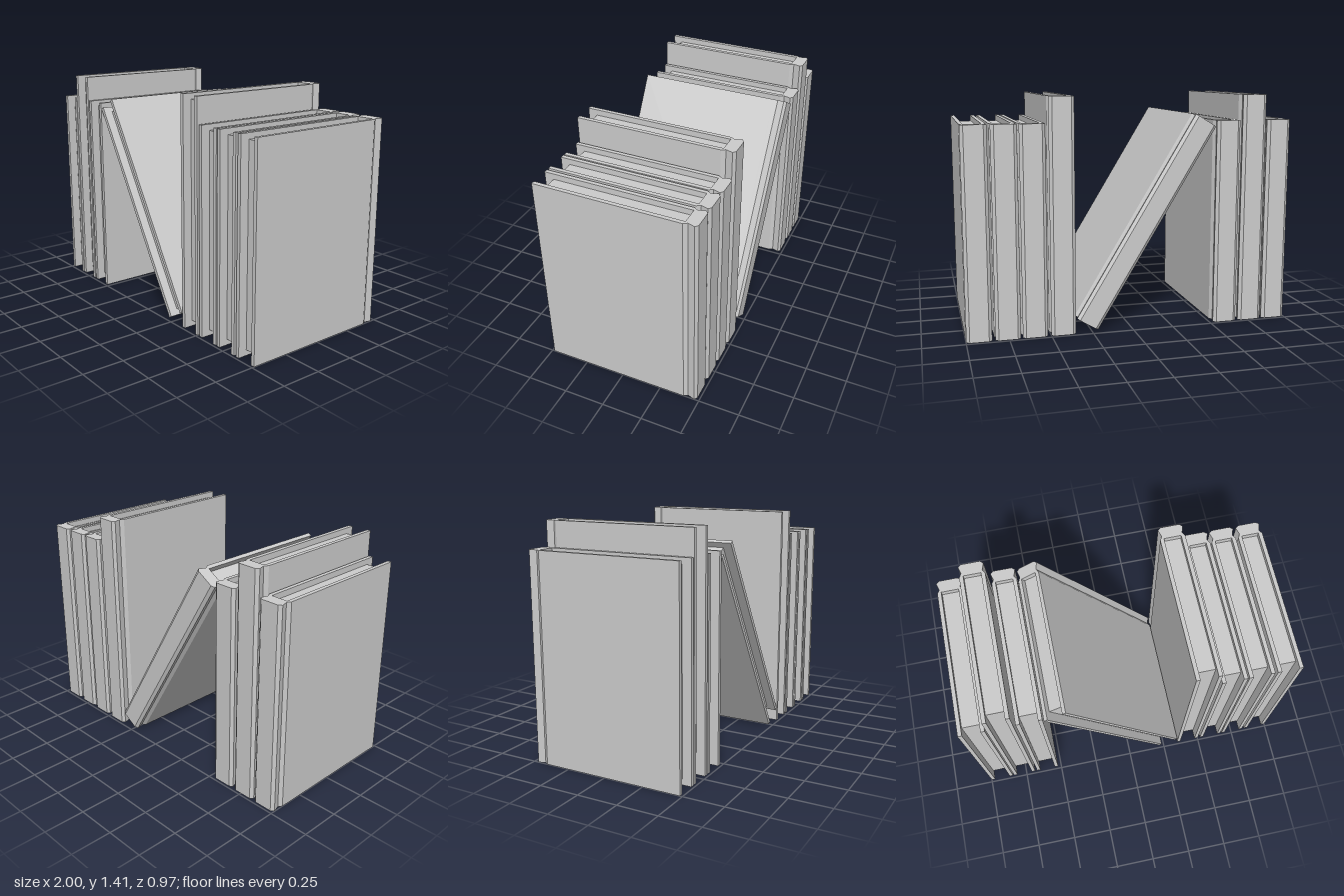
import * as THREE from 'three';

const material = new THREE.MeshStandardMaterial({ color: 0xcccccc, flatShading: true });

// Half outline of the hard cover as [x, z]: inner board face, fore edge, hinge groove, spine
const halfCover = [
  [0.052, -0.41], [0.052, 0.485], [0.076, 0.485], [0.076, -0.403],
  [0.062, -0.427], [0.075, -0.47], [0.056, -0.485],
];

function createBook(height) {
  const book = new THREE.Group();
  book.name = 'book';

  // Cover: boards and spine in one outline, extruded upwards and centred on y
  const mirrored = halfCover.map(([x, z]) => [-x, z]).reverse();
  const outline = [...halfCover, ...mirrored].map(([x, z]) => new THREE.Vector2(x, -z));
  const coverGeometry = new THREE.ExtrudeGeometry(new THREE.Shape(outline), {
    depth: height, bevelEnabled: false,
  });
  coverGeometry.rotateX(-Math.PI / 2).translate(0, -height / 2, 0);
  const cover = new THREE.Mesh(coverGeometry, material);
  cover.name = 'cover';

  // Page block, set back from the cover's edges
  const pages = new THREE.Mesh(new THREE.BoxGeometry(0.104, height - 0.07, 0.84), material);
  pages.name = 'pages';
  pages.position.z = 0.01;

  book.add(cover, pages);
  return book;
}

export function createModel() {
  const model = new THREE.Group();
  model.name = 'bookRow';
  const short = 1.257, tall = 1.41;

  // Upright books: [centre x, height]
  const upright = [
    [-0.924, short], [-0.764, tall], [-0.598, short],
    [0.426, tall], [0.595, short], [0.756, short], [0.924, short],
  ];
  for (const [x, height] of upright) {
    const book = createBook(height);
    book.name = 'uprightBook';
    book.position.set(x, height / 2, 0);
    model.add(book);
  }

  // Book leaning across the gap
  const leaning = createBook(tall);
  leaning.name = 'leaningBook';
  leaning.position.set(-0.086, 0.655, 0);
  leaning.rotation.z = 0.545;
  model.add(leaning);

  return model;
}
